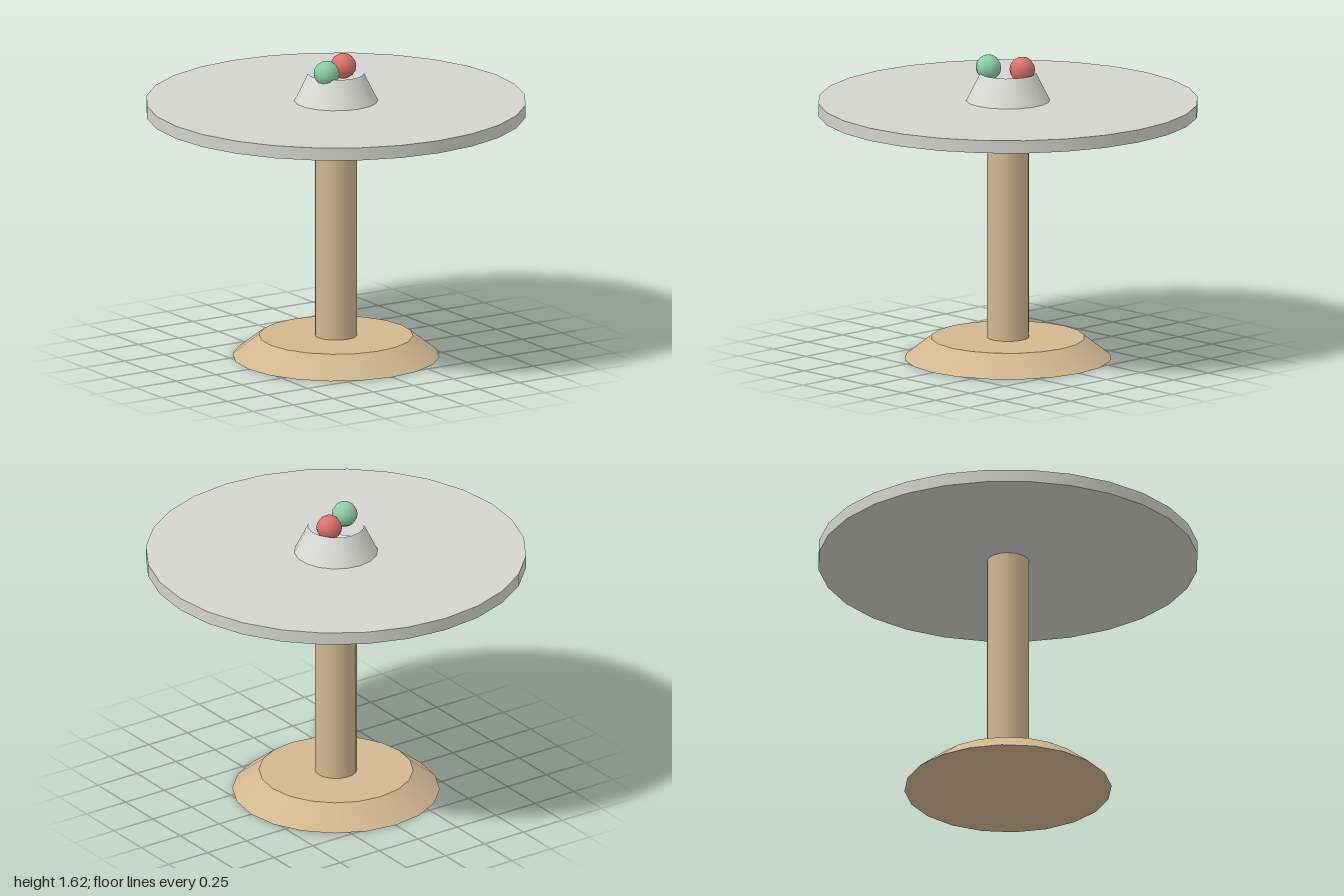
import * as THREE from 'three';

const material = (name, color) => {
  const m = new THREE.MeshStandardMaterial({ color });
  m.name = name;
  return m;
};

export function createModel() {
  const model = new THREE.Group();
  model.name = 'pedestalTable';

  const wood = material('tan wood', 0xd2b891);
  const grey = material('light grey', 0xd3d3d1);
  const bowlGrey = material('pale grey', 0xdadad8);
  const white = material('white', 0xfafafa);
  const red = material('red', 0xdc726c);
  const green = material('green', 0x8ccfa4);

  const add = (name, geometry, mat, x, y, z) => {
    const mesh = new THREE.Mesh(geometry, mat);
    mesh.name = name;
    mesh.position.set(x, y, z);
    model.add(mesh);
    return mesh;
  };
  // Round part standing between two heights
  const round = (name, mat, rTop, rBottom, y0, y1, sides, open = false) =>
    add(name, new THREE.CylinderGeometry(rTop, rBottom, y1 - y0, sides, 1, open), mat, 0, (y0 + y1) / 2, 0);

  // Stand and table top
  round('base', wood, 0.405, 0.545, 0, 0.11, 20);
  round('column', wood, 0.11, 0.11, 0.11, 1.315, 20);
  round('tableTop', grey, 1, 1, 1.315, 1.383, 28);

  // Open bowl with a white floor
  round('bowlWall', bowlGrey, 0.147, 0.22, 1.383, 1.53, 18, true);
  round('bowlFloor', white, 0.19, 0.19, 1.383, 1.388, 18);

  // Balls resting at the rim
  const ball = new THREE.SphereGeometry(0.068, 10, 8);
  add('greenBall', ball, green, -0.093, 1.553, 0.053);
  add('redBall', ball, red, 0.07, 1.553, -0.037);

  return model;
}
